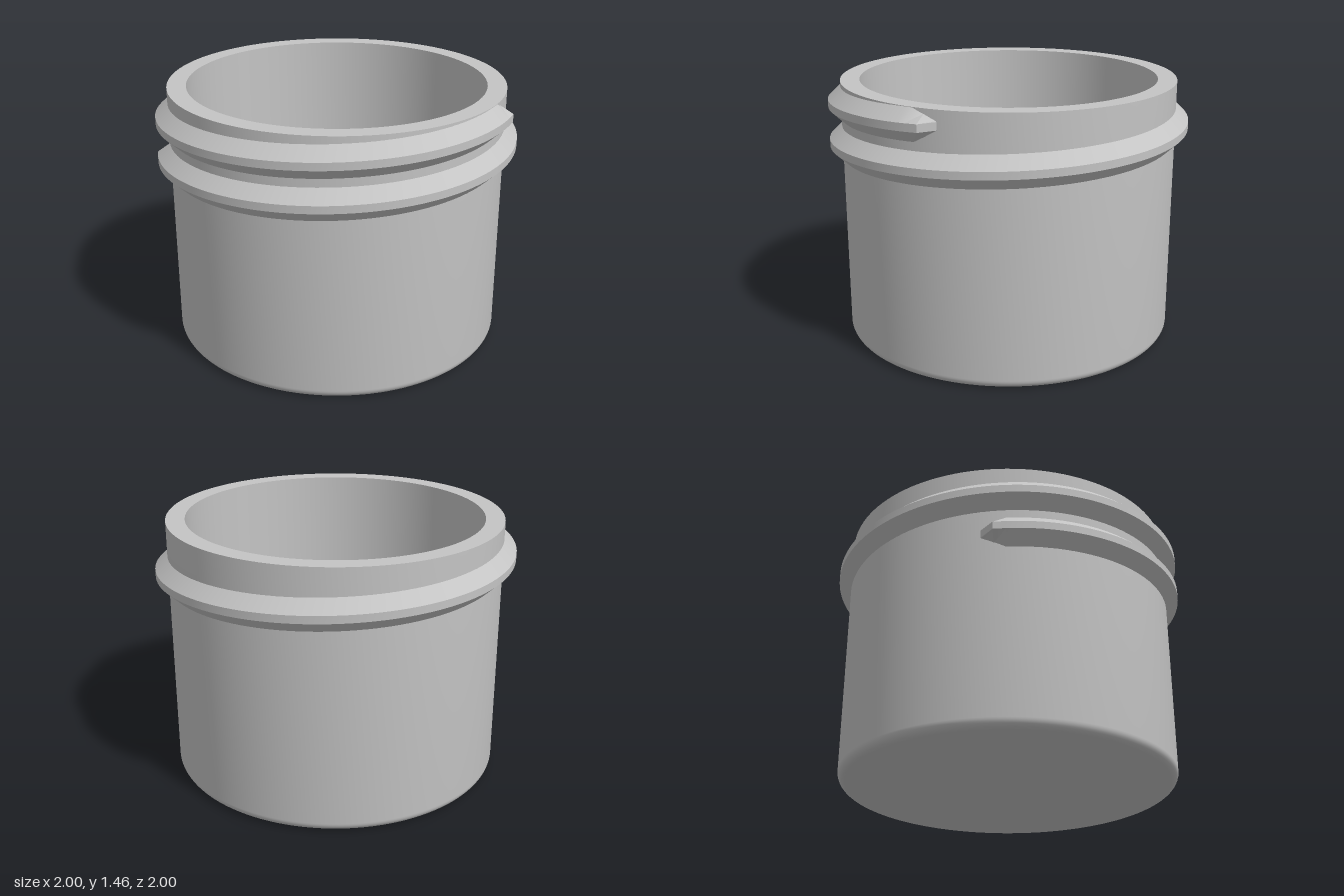
import * as THREE from 'three';
import { toCreasedNormals } from 'three/addons/utils/BufferGeometryUtils.js';

const R = 0.93, INNER = 0.825, HEIGHT = 1.46, FLOOR = 0.1, FILLET = 0.05;
const CREST = 1.0, PITCH = 0.22, BASE_HALF = 0.09, CREST_HALF = 0.021;
const deg = THREE.MathUtils.degToRad;

// Cup: rounded bottom edge, straight wall, flat rim, hollow inside
function cupGeometry() {
  const profile = [new THREE.Vector2(0, 0)];
  for (let i = 0; i <= 8; i++) {
    const a = (i / 8) * Math.PI / 2;
    profile.push(new THREE.Vector2(R - FILLET + FILLET * Math.sin(a), FILLET - FILLET * Math.cos(a)));
  }
  profile.push(
    new THREE.Vector2(R, HEIGHT),
    new THREE.Vector2(INNER, HEIGHT),
    new THREE.Vector2(INNER, FLOOR),
    new THREE.Vector2(0, FLOOR)
  );
  return toCreasedNormals(new THREE.LatheGeometry(profile, 128), 0.5);
}

// Thread: trapezoid section swept along a helix, chamfered at both ends
function threadGeometry() {
  const start = -123.6, end = 393.7, steps = 190;
  const angles = [start, start + 4.2];
  for (let i = 0; i <= steps; i++) {
    angles.push(THREE.MathUtils.lerp(start + 8.2, end - 8.2, i / steps));
  }
  angles.push(end - 4.2, end);

  const positions = [], indices = [];
  angles.forEach((angle, i) => {
    const fromEnd = Math.min(angle - start, end - angle);
    const baseHalf = THREE.MathUtils.lerp(CREST_HALF + 0.005, BASE_HALF, Math.min(1, fromEnd / 8.2));
    const crest = THREE.MathUtils.lerp(R, CREST, Math.min(1, fromEnd / 4.2));
    const y = 1.137 + PITCH * angle / 360;
    const section = [[R - 0.003, -baseHalf], [crest, -CREST_HALF], [crest, CREST_HALF], [R - 0.003, baseHalf]];
    for (const [r, dy] of section) {
      positions.push(r * Math.sin(deg(angle)), Math.min(y + dy, HEIGHT), r * Math.cos(deg(angle)));
    }
    if (i === 0) return;
    for (let j = 0; j < 3; j++) {
      const a = (i - 1) * 4 + j, b = i * 4 + j;
      indices.push(a, b, b + 1, a, b + 1, a + 1);
    }
  });
  const geometry = new THREE.BufferGeometry();
  geometry.setAttribute('position', new THREE.Float32BufferAttribute(positions, 3));
  geometry.setIndex(indices);
  return toCreasedNormals(geometry, 0.4);
}

export function createModel() {
  const grey = new THREE.MeshStandardMaterial({ color: 0xc4c4c4 });
  grey.name = 'light grey';

  const model = new THREE.Group();
  model.name = 'threadedJar';
  const addPart = (name, geometry) => {
    const mesh = new THREE.Mesh(geometry, grey);
    mesh.name = name;
    model.add(mesh);
  };
  addPart('jarBody', cupGeometry());
  addPart('screwThread', threadGeometry());
  return model;
}
